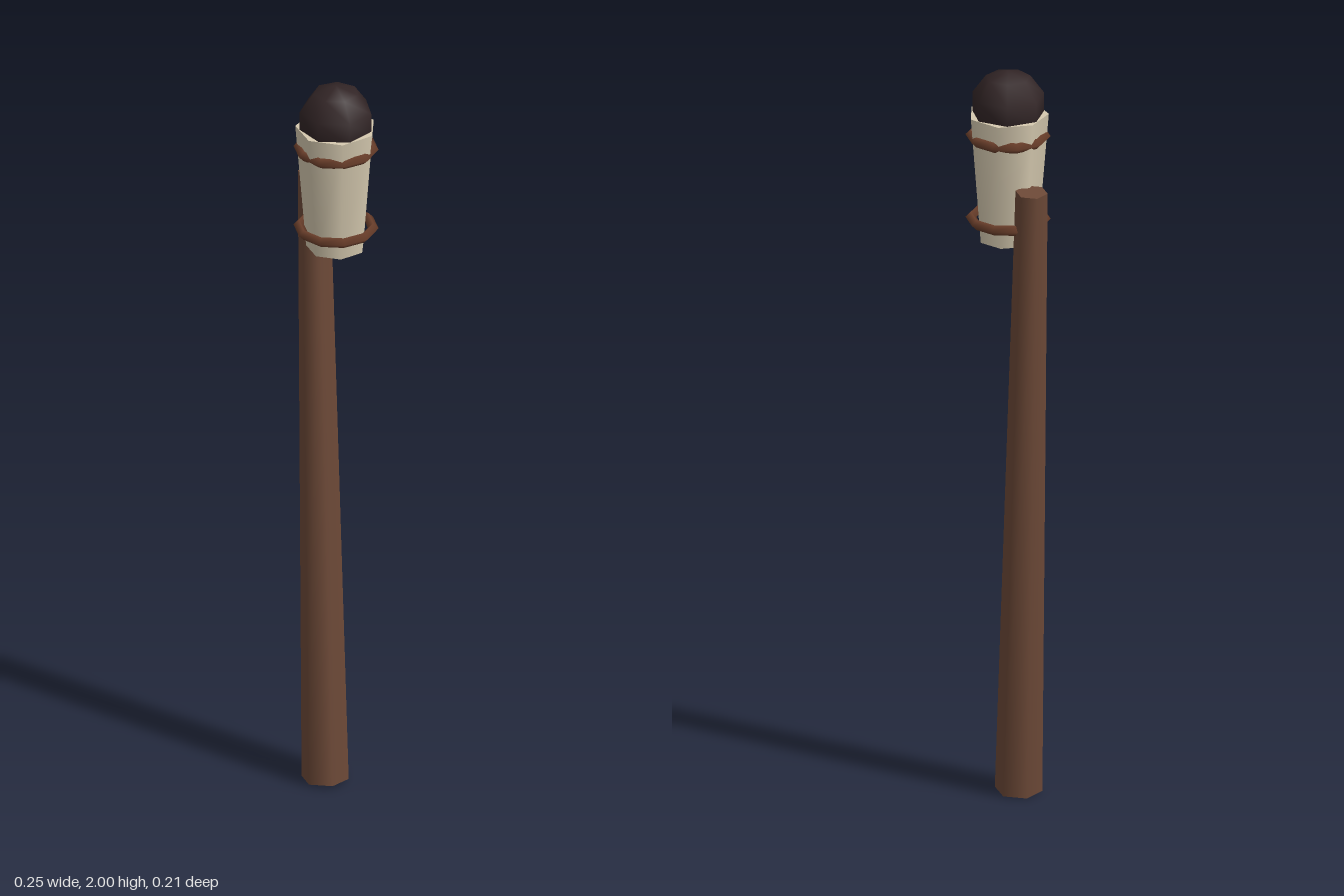
import * as THREE from 'three';

const mat = (name, color) => Object.assign(new THREE.MeshStandardMaterial({ color }), { name });

export function createModel() {
  const wood = mat('brownWood', 0x6e4a38);
  const strap = mat('reddishBinding', 0x6b3f2b);
  const cream = mat('creamCup', 0xd6cab0);
  const dark = mat('darkBall', 0x322526);

  const group = new THREE.Group();
  const headX = 0.015;
  const add = (name, geometry, material, x, y, z = 0) => {
    const mesh = new THREE.Mesh(geometry, material);
    mesh.name = name;
    mesh.position.set(x, y, z);
    group.add(mesh);
    return mesh;
  };

  // Leaning, tapered six-sided pole
  const foot = new THREE.Vector3(0.007, 0.006, 0.033);
  const tip = new THREE.Vector3(-0.093, 1.7, -0.035);
  const axis = tip.clone().sub(foot);
  const mid = foot.clone().add(tip).multiplyScalar(0.5);
  const pole = add('pole', new THREE.CylinderGeometry(0.042, 0.062, axis.length(), 6), wood, mid.x, mid.y, mid.z);
  pole.quaternion.setFromUnitVectors(new THREE.Vector3(0, 1, 0), axis.normalize());

  // Seven-sided cup, wider at the rim
  add('cup', new THREE.CylinderGeometry(0.105, 0.077, 0.345, 7), cream, headX, 1.7075);

  // Ball resting in the cup
  add('ball', new THREE.SphereGeometry(0.0996, 7, 5), dark, headX, 1.9);

  // Binding rings around the cup
  for (const [name, y] of [['upperRing', 1.82], ['lowerRing', 1.592]]) {
    const ring = add(name, new THREE.TorusGeometry(0.096, 0.014, 4, 10), strap, headX, y);
    ring.rotation.x = Math.PI / 2;
  }

  return group;
}
